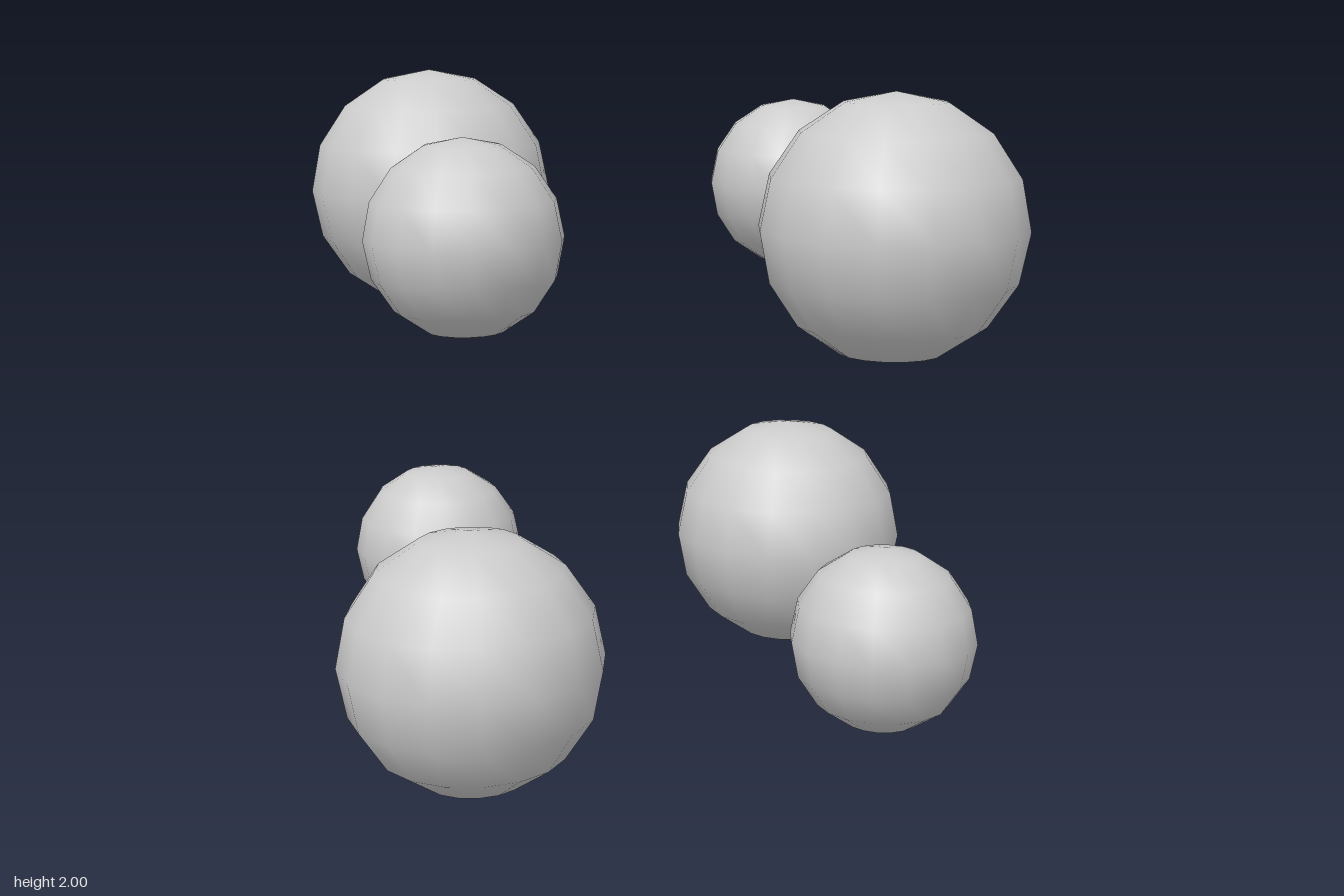
import * as THREE from 'three';

export function createModel() {
  const group = new THREE.Group();
  group.name = 'cubicLattice';
  const material = new THREE.MeshStandardMaterial({ color: 0xcccccc });
  const largeRadius = 0.389, smallRadius = 0.279;
  const offset = 1 - largeRadius;
  const large = new THREE.SphereGeometry(largeRadius, 16, 8);
  const small = new THREE.SphereGeometry(smallRadius, 16, 8);

  // Large and small balls alternate over the eight corners of a cube
  for (const x of [-1, 1]) for (const y of [-1, 1]) for (const z of [-1, 1]) {
    const isLarge = x * y * z > 0;
    const ball = new THREE.Mesh(isLarge ? large : small, material);
    ball.name = [isLarge ? 'largeBall' : 'smallBall',
      y > 0 ? 'Top' : 'Bottom', z > 0 ? 'Front' : 'Back', x > 0 ? 'Left' : 'Right'].join('');
    ball.position.set(x * offset, 1 + y * offset, z * offset);
    group.add(ball);
  }
  return group;
}
